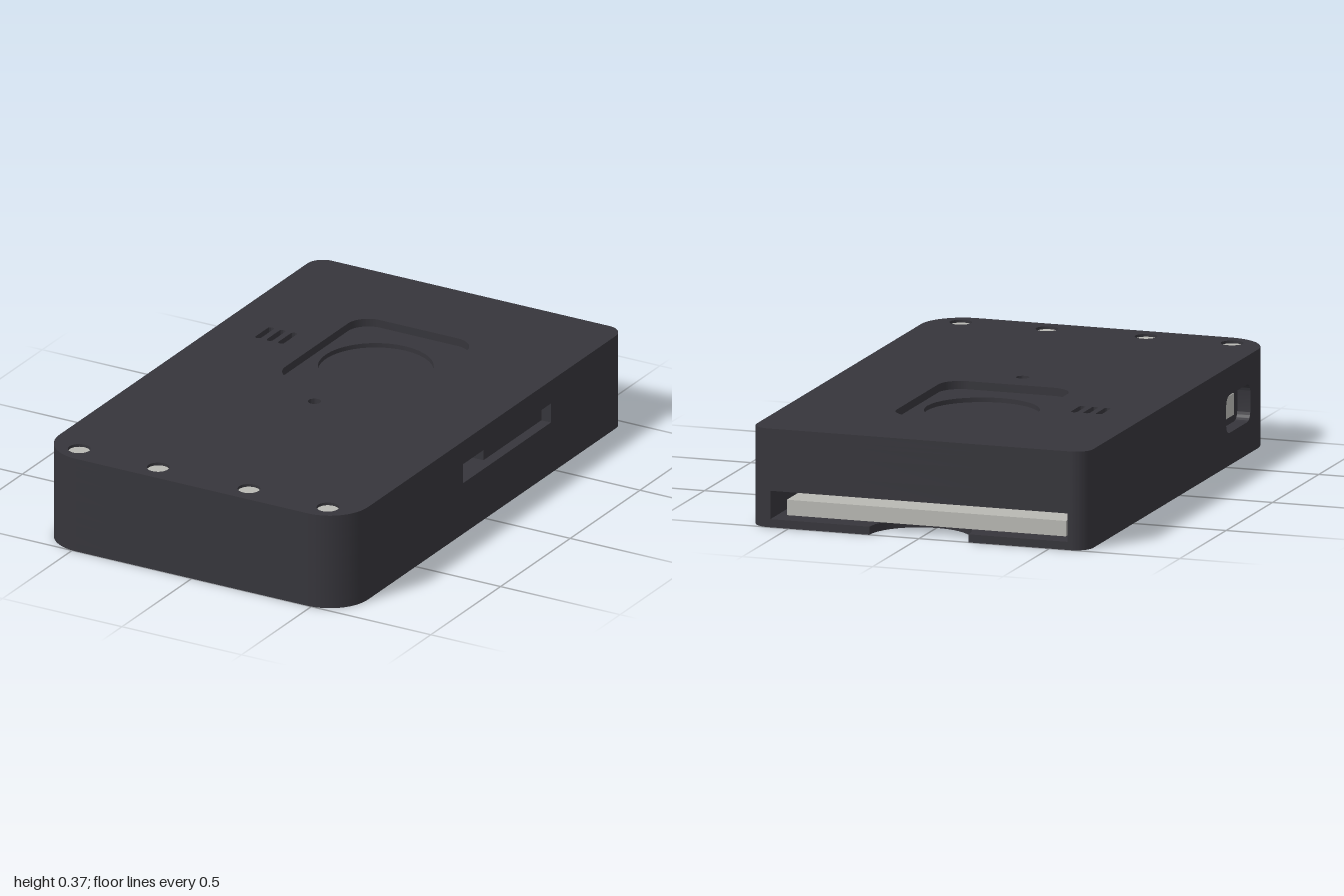
import * as THREE from 'three';
import { toCreasedNormals } from 'three/addons/utils/BufferGeometryUtils.js';

const W = 0.645, FRONT_R = 0.16, BACK_R = 0.065;

// Plan outline drawn in (x, -z), with optional cut-outs on three sides
function caseOutline({ right = [], back = null, left = [] } = {}) {
  const s = new THREE.Shape();
  s.moveTo(-W + FRONT_R, -1);
  s.absarc(W - FRONT_R, -1 + FRONT_R, FRONT_R, -Math.PI / 2, 0, false);
  right.forEach(p => s.lineTo(...p));
  s.absarc(W - BACK_R, 1 - BACK_R, BACK_R, 0, Math.PI / 2, false);
  if (back) back(s);
  s.absarc(-W + BACK_R, 1 - BACK_R, BACK_R, Math.PI / 2, Math.PI, false);
  left.forEach(p => s.lineTo(...p));
  s.absarc(-W + FRONT_R, -1 + FRONT_R, FRONT_R, Math.PI, Math.PI * 1.5, false);
  return s;
}

function roundedRect(path, x0, y0, x1, y1, r) {
  path.absarc(x1 - r, y0 + r, r, -Math.PI / 2, 0, false);
  path.absarc(x1 - r, y1 - r, r, 0, Math.PI / 2, false);
  path.absarc(x0 + r, y1 - r, r, Math.PI / 2, Math.PI, false);
  path.absarc(x0 + r, y0 + r, r, Math.PI, Math.PI * 1.5, false);
  path.closePath();
  return path;
}

const circle = (x, z, r) => new THREE.Path().absarc(x, -z, r, 0, Math.PI * 2, false);

const extrude = (shape, depth) => toCreasedNormals(
  new THREE.ExtrudeGeometry(shape, { depth, bevelEnabled: false, curveSegments: 20 }), 0.6);

export function createModel() {
  const model = new THREE.Group();
  model.name = 'electronicsCase';
  const dark = new THREE.MeshStandardMaterial({ color: 0x36353b });
  dark.name = 'charcoal plastic';
  const grey = new THREE.MeshStandardMaterial({ color: 0xb8b8b3 });
  grey.name = 'pale grey metal';

  const add = (name, geometry, material) => {
    const mesh = new THREE.Mesh(geometry, material);
    mesh.name = name;
    model.add(mesh);
    return mesh;
  };
  const layer = (name, y0, y1, cuts, holes = []) => {
    const shape = caseOutline(cuts);
    shape.holes.push(...holes);
    add(name, extrude(shape, y1 - y0).rotateX(-Math.PI / 2).translate(0, y0, 0), dark);
  };
  const box = (name, x0, x1, y0, y1, z0, z1, material) =>
    add(name, new THREE.BoxGeometry(x1 - x0, y1 - y0, z1 - z0)
      .translate((x0 + x1) / 2, (y0 + y1) / 2, (z0 + z1) / 2), material);

  // Cut-outs: thumb notch, rear card bay, side port, stepped switch slot
  const thumbNotch = s => s.absarc(0, 1, 0.19, 0, -Math.PI, true);
  const cardBay = s => [[0.57, 1], [0.57, -0.4], [-0.57, -0.4], [-0.57, 1]].forEach(p => s.lineTo(...p));
  const port = [[-W, -0.45], [-0.595, -0.45], [-0.595, -0.8], [-W, -0.8]];
  const switchSlot = [[W, -0.16], [0.4, -0.16], [0.4, 0.055], [0.605, 0.055], [0.605, 0.47], [W, 0.47]];

  // Holes through the lid
  const contactX = [-0.52, -0.19, 0.19, 0.52];
  const small = () => [
    circle(0, 0.12, 0.024),
    ...[-0.465, -0.417, -0.369].map(x =>
      roundedRect(new THREE.Path(), x - 0.012, 0.265, x + 0.012, 0.375, 0.0119)),
  ];

  // Case, from the floor up
  layer('floor', 0, 0.03, { back: thumbNotch });
  layer('cardBayWalls', 0.03, 0.1, { back: cardBay });
  layer('cardBayUpperWalls', 0.1, 0.135, { back: cardBay, left: port });
  layer('middleCase', 0.135, 0.2, { left: port });
  layer('switchCase', 0.2, 0.275, { left: port, right: switchSlot });
  layer('lidBase', 0.275, 0.318, {}, small());
  layer('lidRoundRecess', 0.318, 0.335, {}, [...small(), circle(0, -0.32, 0.21)]);
  layer('lidTop', 0.335, 0.365, {}, [
    ...small(),
    roundedRect(new THREE.Path(), -0.247, 0.01, 0.247, 0.628, 0.085),
    ...contactX.map(x => circle(x, 0.915, 0.041)),
  ]);

  // Side port surround with a rounded opening, and its connector
  const surround = roundedRect(new THREE.Shape(), 0.45, 0.1, 0.8, 0.275, 0.0001);
  surround.holes.push(roundedRect(new THREE.Path(), 0.5, 0.12, 0.76, 0.26, 0.035));
  add('portSurround', extrude(surround, 0.05).rotateY(-Math.PI / 2).translate(-0.595, 0, 0), dark);
  box('portConnector', -0.603, -0.59, 0.15, 0.23, 0.55, 0.7, grey);

  // Parts seen inside the openings
  box('card', -0.535, 0.535, 0.031, 0.088, -0.92, 0.38, grey);
  box('switchLever', 0.39, 0.42, 0.201, 0.274, -0.054, 0.1, grey);
  add('indicator', new THREE.CylinderGeometry(0.024, 0.024, 0.006, 20).translate(0, 0.278, 0.12), grey);
  contactX.forEach(x =>
    add('contact', new THREE.CylinderGeometry(0.04, 0.04, 0.02, 28).translate(x, 0.345, 0.915), grey));

  return model;
}
